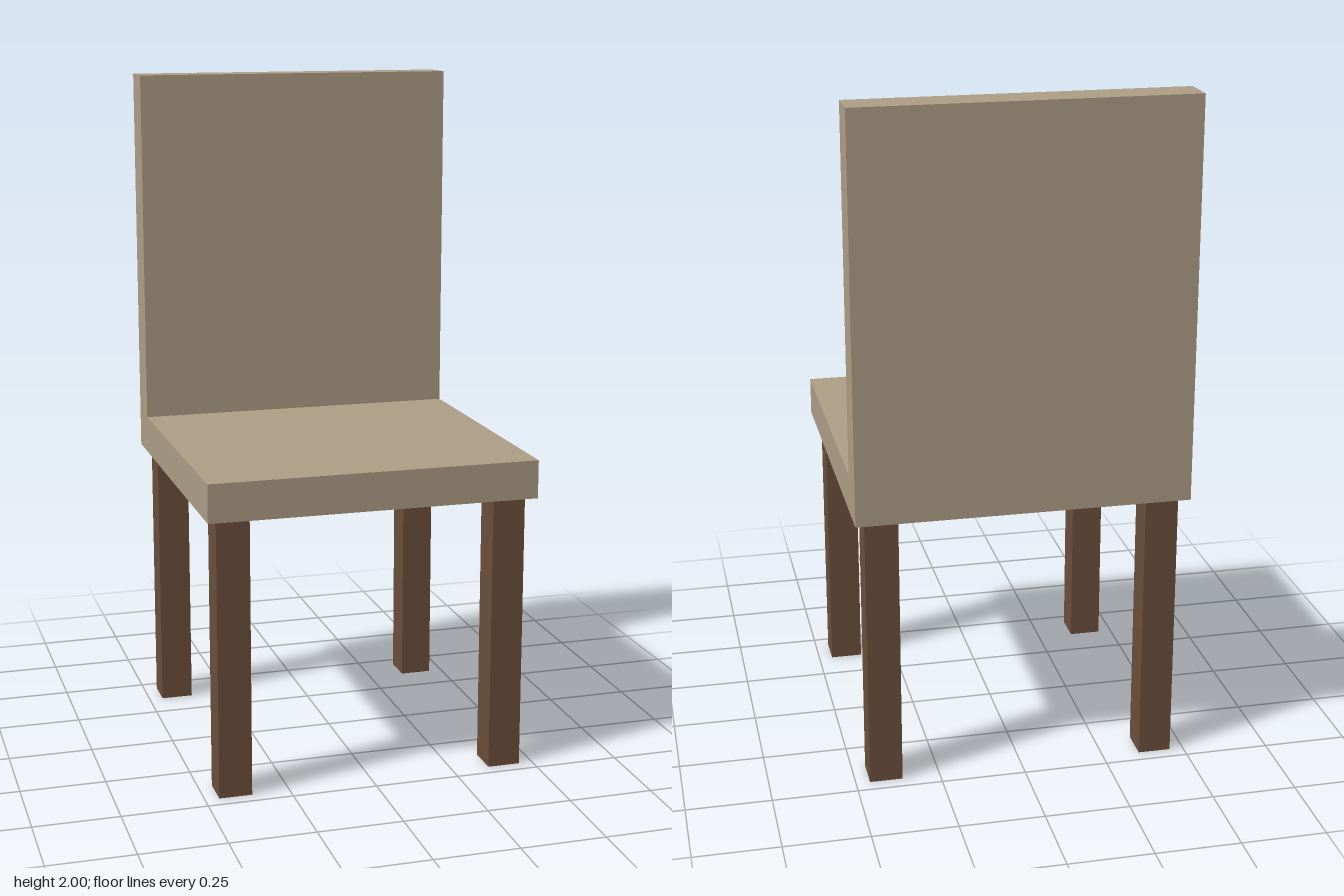
import * as THREE from 'three';

const HALF = 0.487;      // half of the seat width and depth
const SEAT_BOTTOM = 0.825;
const SEAT_TOP = 0.938;
const BACK_FRONT = -0.374; // z of the backrest's front face

export function createModel() {
  const chair = new THREE.Group();
  chair.name = 'chair';

  const upholstery = new THREE.MeshStandardMaterial({ color: 0xad9d86 });
  upholstery.name = 'beige upholstery';
  const wood = new THREE.MeshStandardMaterial({ color: 0x6b4f3b });
  wood.name = 'brown wood';

  // Seat and backrest: one L-shaped side profile, drawn as (-z, y) and extruded across x
  const profile = new THREE.Shape([
    [-HALF, SEAT_BOTTOM], [HALF, SEAT_BOTTOM], [HALF, 2],
    [-BACK_FRONT, 2], [-BACK_FRONT, SEAT_TOP], [-HALF, SEAT_TOP],
  ].map(([u, y]) => new THREE.Vector2(u, y)));
  const seatGeometry = new THREE.ExtrudeGeometry(profile, { depth: HALF * 2, bevelEnabled: false });
  seatGeometry.translate(0, 0, -HALF).rotateY(Math.PI / 2);
  const seat = new THREE.Mesh(seatGeometry, upholstery);
  seat.name = 'seatAndBackrest';
  chair.add(seat);

  // Four square legs, set in slightly from the corners
  const legGeometry = new THREE.BoxGeometry(0.097, SEAT_BOTTOM, 0.097);
  for (const [zName, z] of [['front', 0.41], ['back', -0.41]]) {
    for (const [xName, x] of [['Left', 0.41], ['Right', -0.41]]) {
      const leg = new THREE.Mesh(legGeometry, wood);
      leg.name = `${zName}${xName}Leg`;
      leg.position.set(x, SEAT_BOTTOM / 2, z);
      chair.add(leg);
    }
  }

  return chair;
}
